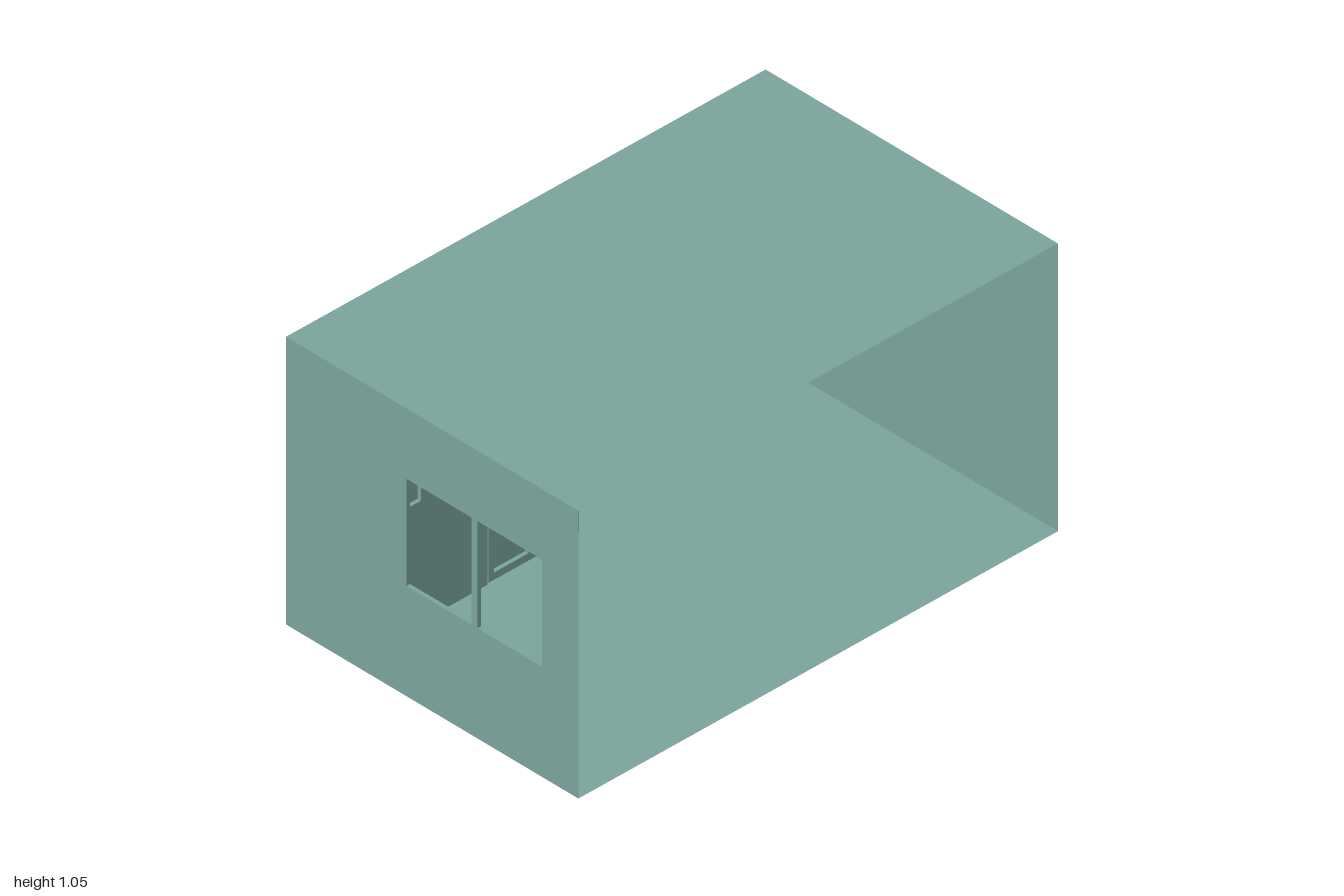
import * as THREE from 'three';

const W = 2, H = 1.055, D = 1.26;
const mat = new THREE.MeshStandardMaterial({ color: 0x7aa39c, side: THREE.DoubleSide });

function add(parent, name, geometry, x = 0, y = 0, z = 0) {
  const mesh = new THREE.Mesh(geometry, mat);
  mesh.name = name;
  mesh.position.set(x, y, z);
  parent.add(mesh);
  return mesh;
}

// Trace a rectangle [x0, y0, x1, y1] on a shape or hole path
function rect(path, [x0, y0, x1, y1]) {
  path.moveTo(x0, y0);
  path.lineTo(x1, y0);
  path.lineTo(x1, y1);
  path.lineTo(x0, y1);
  path.closePath();
  return path;
}

function panelWithHoles(outer, holes) {
  const shape = rect(new THREE.Shape(), outer);
  holes.forEach((h) => shape.holes.push(rect(new THREE.Path(), h)));
  return shape;
}

const extrude = (shape, depth) => new THREE.ExtrudeGeometry(shape, { depth, bevelEnabled: false });

// Cabinet: solid body with a front sheet whose holes form recessed door panels
function cabinet(name, outer, doors, front) {
  const [x0, y0, x1, y1] = outer;
  const back = -0.585, recess = 0.015;
  const depth = front - recess - back;
  const g = new THREE.Group();
  g.name = name;
  add(g, name + 'Body', new THREE.BoxGeometry(x1 - x0, y1 - y0, depth),
    (x0 + x1) / 2, (y0 + y1) / 2, back + depth / 2);
  add(g, name + 'DoorFrame', extrude(panelWithHoles(outer, doors), recess), 0, 0, front - recess);
  return g;
}

export function createModel() {
  const room = new THREE.Group();
  room.name = 'room';

  // Thin shell, open at the front
  add(room, 'floor', new THREE.PlaneGeometry(W, D)).rotation.x = -Math.PI / 2;
  add(room, 'ceiling', new THREE.PlaneGeometry(W, D), 0, H, 0).rotation.x = -Math.PI / 2;
  add(room, 'backWall', new THREE.PlaneGeometry(W, H), 0, H / 2, -D / 2);
  add(room, 'leftWall', new THREE.PlaneGeometry(D, H), W / 2, H / 2, 0).rotation.y = Math.PI / 2;

  // Window wall: shape x runs along -z after the turn
  const opening = [-0.5, 0.378, 0.137, 0.823];
  const wall = panelWithHoles([-D / 2, 0, D / 2, H], [opening]);
  add(room, 'rightWall', new THREE.ShapeGeometry(wall), -W / 2, 0, 0).rotation.y = Math.PI / 2;

  // Window frame with two open lights and a central mullion
  const [a, b, c, d] = opening;
  const bar = 0.026, mid = (a + c) / 2;
  const frame = panelWithHoles(opening, [
    [a + bar, b + bar, mid - bar / 2, d - bar],
    [mid + bar / 2, b + bar, c - bar, d - bar],
  ]);
  add(room, 'windowFrame', extrude(frame, 0.015), -W / 2, 0, 0).rotation.y = Math.PI / 2;

  // Tall and low cabinets against the back wall
  room.add(cabinet('tallCabinet', [-0.955, 0.033, -0.455, 0.875],
    [[-0.935, 0.477, -0.732, 0.852], [-0.684, 0.477, -0.478, 0.852]], -0.325));
  room.add(cabinet('lowCabinet', [-0.445, 0.033, -0.068, 0.452],
    [[-0.422, 0.06, -0.28, 0.425], [-0.236, 0.06, -0.093, 0.425]], -0.33));

  return room;
}
